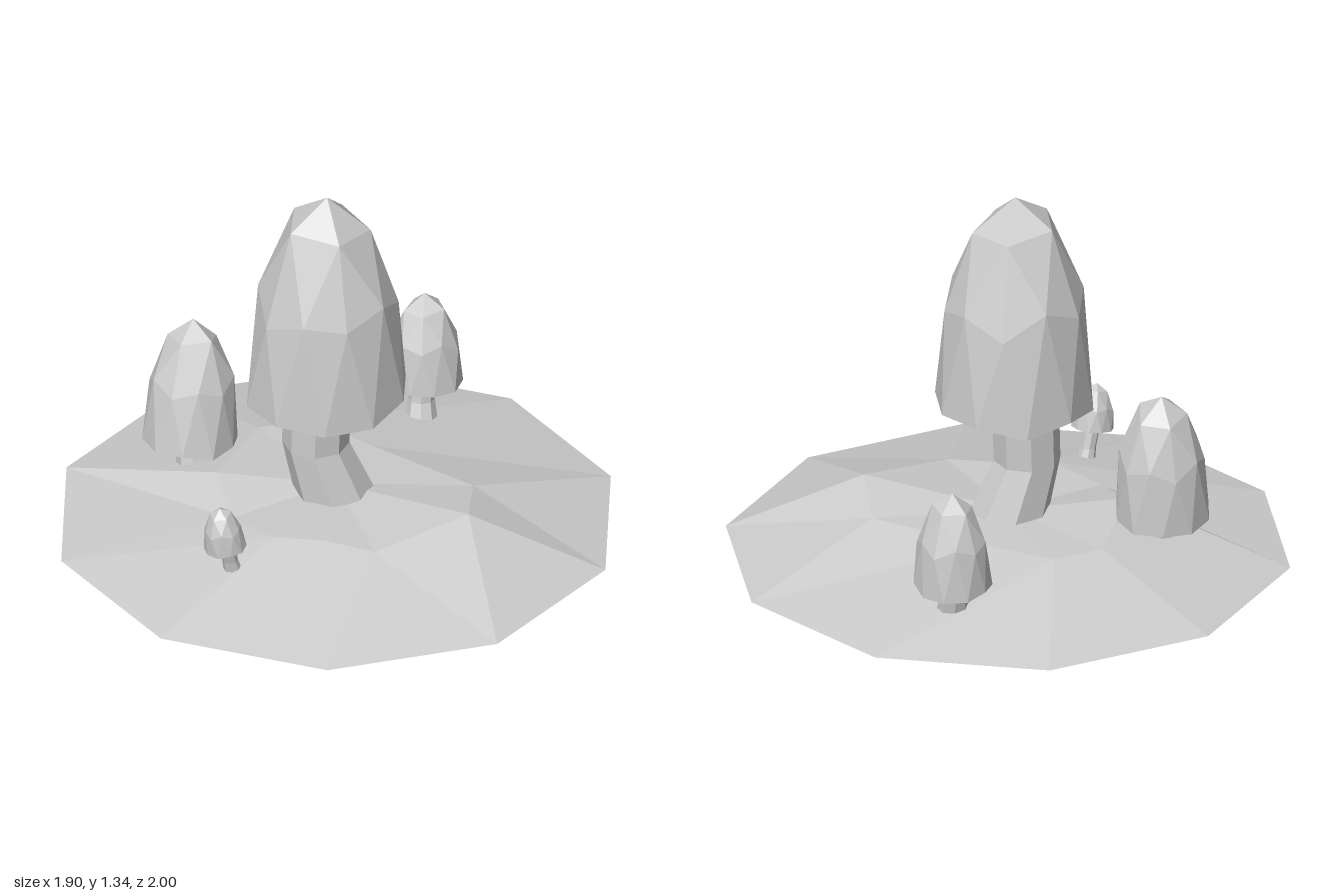
import * as THREE from 'three';

const material = new THREE.MeshStandardMaterial({ color: 0xcccccc, flatShading: true, side: THREE.DoubleSide });

// Smooth repeatable offset in -1..1, equal for coincident corners
const wobble = (x, y, z, seed) => Math.sin(x * 5.1 + y * 7.3 + z * 9.7 + seed);

// Flat-faced surface from loops of equal point count
function loft(rings) {
  const pos = [];
  const n = rings[0].length;
  for (let r = 0; r < rings.length - 1; r++) {
    for (let i = 0; i < n; i++) {
      const j = (i + 1) % n;
      const [a, b, c, d] = [rings[r][i], rings[r][j], rings[r + 1][j], rings[r + 1][i]];
      pos.push(...a, ...b, ...c, ...a, ...c, ...d);
    }
  }
  const g = new THREE.BufferGeometry();
  g.setAttribute('position', new THREE.Float32BufferAttribute(pos, 3));
  g.computeVertexNormals();
  return g;
}

function add(parent, name, geometry) {
  const mesh = new THREE.Mesh(geometry, material);
  mesh.name = name;
  parent.add(mesh);
  return mesh;
}

// Low ten-sided hill with an uneven shoulder
function moundGeometry() {
  const shoulder = [
    [-0.02, 0.145, 0.38], [0.15, 0.14, 0.44], [0.47, 0.19, 0.26], [0.48, 0.145, 0], [0.12, 0.14, -0.26],
    [-0.1, 0.145, -0.42], [-0.28, 0.145, -0.36], [-0.42, 0.17, -0.02], [-0.36, 0.12, 0.2], [-0.2, 0.145, 0.36],
  ];
  const rim = shoulder.map((_, i) => {
    const a = (i * Math.PI) / 5;
    return [Math.sin(a), 0, Math.cos(a)];
  });
  const ring = (p) => shoulder.map(() => p);
  return loft([ring([0, 0, 0]), rim, shoulder, ring([0, 0.145, 0])]);
}

// Stretched half ball, its lower half folded up inside the rim
function capGeometry(radius, height, seed) {
  const g = new THREE.IcosahedronGeometry(1, 1);
  g.rotateZ(-Math.atan(2 / (1 + Math.sqrt(5))));
  const p = g.attributes.position;
  for (let i = 0; i < p.count; i++) {
    const x = p.getX(i), y = p.getY(i), z = p.getZ(i);
    const w = wobble(x, y, z, seed);
    const top = y > 0.95;
    const lift = y < -0.1 ? -y * 0.12 : y + (top ? 0 : 0.03 * w);
    const spread = top ? 1 : 1 + 0.03 * wobble(z, x, y, seed);
    p.setXYZ(i, x * radius * spread, lift * height, z * radius * spread);
  }
  g.computeVertexNormals();
  return g;
}

// Eight-sided stem through [x, y, z, radius] stations
function stemGeometry(stations) {
  return loft(stations.map(([x, y, z, r]) => Array.from({ length: 8 }, (_, i) => {
    const a = (i * Math.PI) / 4;
    return [x + r * Math.sin(a), y, z + r * Math.cos(a)];
  })));
}

const mushrooms = [
  { name: 'largeMushroom', cap: [-0.03, 0.55, 0.03], r: 0.285, h: 0.79, turn: 0, tilt: [0, 0], seed: 1,
    stem: [[0, 0.12, 0.015, 0.145], [-0.07, 0.33, 0.02, 0.118], [-0.065, 0.54, 0.02, 0.118], [-0.04, 0.68, 0.02, 0.13]] },
  { name: 'mediumMushroom', cap: [-0.515, 0.2, -0.2], r: 0.172, h: 0.465, turn: 0.5, tilt: [-0.08, -0.02], seed: 2,
    stem: [[-0.5, 0.1, -0.18, 0.065], [-0.51, 0.19, -0.195, 0.052], [-0.5, 0.29, -0.2, 0.06]] },
  { name: 'smallMushroom', cap: [0.29, 0.18, -0.63], r: 0.138, h: 0.355, turn: 0.9, tilt: [-0.03, 0], seed: 3.5,
    stem: [[0.28, 0.04, -0.57, 0.06], [0.28, 0.13, -0.6, 0.047], [0.29, 0.25, -0.62, 0.05]] },
  { name: 'tinyMushroom', cap: [-0.372, 0.195, 0.508], r: 0.074, h: 0.165, turn: 0.3, tilt: [0.05, 0.12], seed: 5,
    stem: [[-0.34, 0.06, 0.475, 0.036], [-0.355, 0.13, 0.49, 0.028], [-0.375, 0.23, 0.51, 0.032]] },
];

export function createModel() {
  const model = new THREE.Group();
  model.name = 'mushroomMound';
  add(model, 'mound', moundGeometry());

  for (const m of mushrooms) {
    const group = new THREE.Group();
    group.name = m.name;
    const cap = add(group, 'cap', capGeometry(m.r, m.h, m.seed));
    cap.position.set(...m.cap);
    cap.rotation.set(m.tilt[0], m.turn, m.tilt[1]);
    add(group, 'stem', stemGeometry(m.stem));
    model.add(group);
  }
  return model;
}
